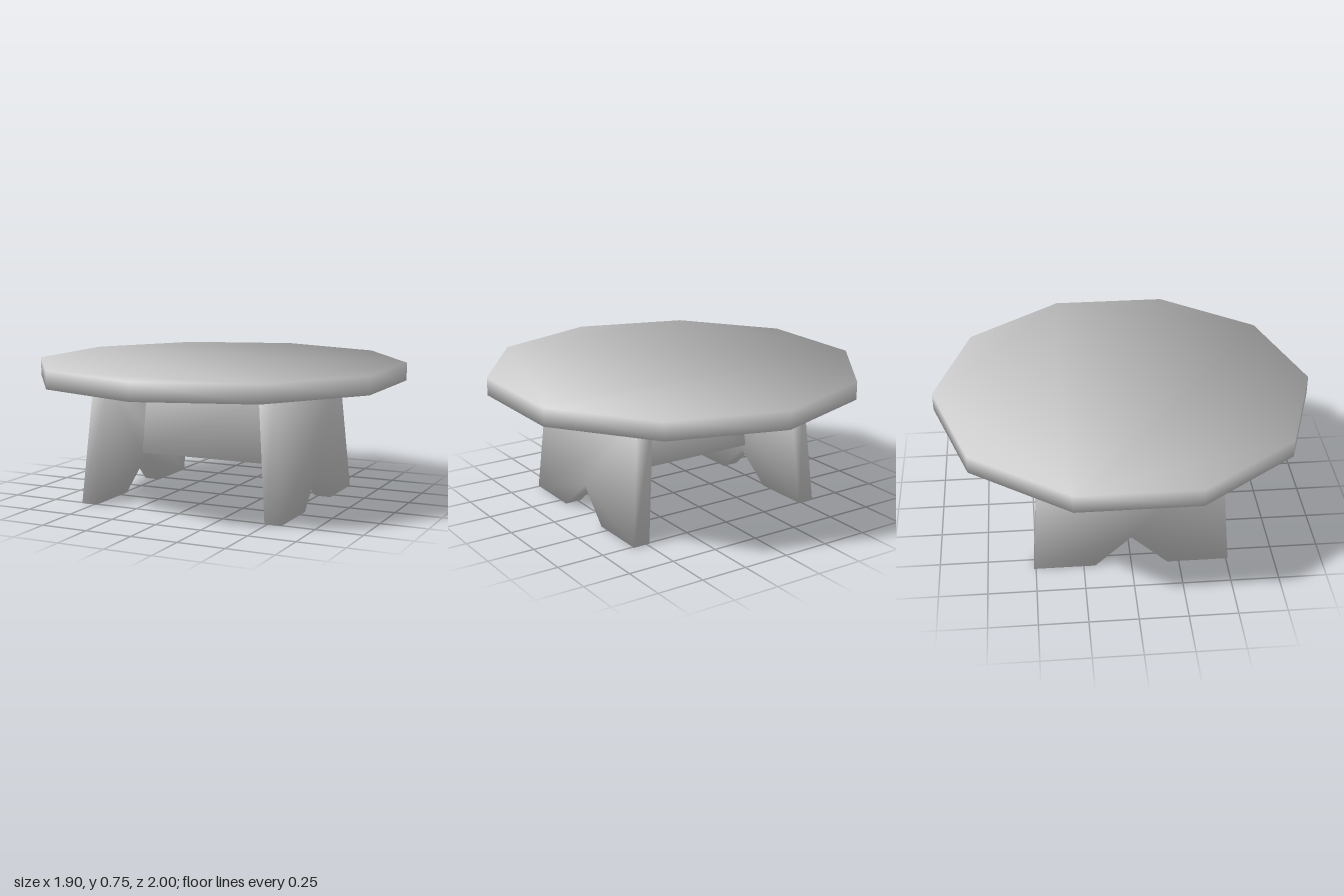
import * as THREE from 'three';
import { mergeVertices } from 'three/addons/utils/BufferGeometryUtils.js';

// Weld shared corners and give each one an angle-weighted smooth normal.
function smooth(source) {
  source.deleteAttribute('normal');
  source.deleteAttribute('uv');
  source.clearGroups();
  const geometry = mergeVertices(source, 1e-4);
  const position = geometry.attributes.position;
  const index = geometry.index;
  const normals = Array.from({ length: position.count }, () => new THREE.Vector3());
  for (let i = 0; i < index.count; i += 3) {
    const ids = [0, 1, 2].map((k) => index.getX(i + k));
    const p = ids.map((id) => new THREE.Vector3().fromBufferAttribute(position, id));
    const face = p[1].clone().sub(p[0]).cross(p[2].clone().sub(p[0])).normalize();
    ids.forEach((id, k) => {
      const a = p[(k + 1) % 3].clone().sub(p[k]);
      const b = p[(k + 2) % 3].clone().sub(p[k]);
      normals[id].addScaledVector(face, a.angleTo(b));
    });
  }
  geometry.setAttribute('normal', new THREE.Float32BufferAttribute(
    normals.flatMap((n) => n.normalize().toArray()), 3));
  return geometry;
}

// Flat slab from an outline, centred on its thickness.
function slab(points, depth) {
  const shape = new THREE.Shape(points.map(([x, y]) => new THREE.Vector2(x, y)));
  return new THREE.ExtrudeGeometry(shape, { depth, bevelEnabled: false }).translate(0, 0, -depth / 2);
}

export function createModel() {
  const group = new THREE.Group();
  const grey = new THREE.MeshStandardMaterial({ color: 0xcccccc });
  grey.name = 'plain grey';

  const add = (name, geometry) => {
    const mesh = new THREE.Mesh(smooth(geometry), grey);
    mesh.name = name;
    group.add(mesh);
    return mesh;
  };

  // Ten-sided top with corners pointing to the front and back
  const corners = Array.from({ length: 10 }, (_, i) => {
    const a = Math.PI / 2 + (i * Math.PI) / 5;
    return [Math.cos(a), Math.sin(a)];
  });
  add('tableTop', slab(corners, 0.095).rotateX(-Math.PI / 2).translate(0, 0.6975, 0));

  // Splayed leg panels with a notch between the feet
  const outline = [
    [-0.51, 0], [-0.19, 0], [0, 0.165], [0.19, 0], [0.51, 0], [0.465, 0.65], [-0.465, 0.65],
  ];
  for (const [name, turn] of [['leftLeg', 0], ['rightLeg', Math.PI]]) {
    const leg = slab(outline, 0.09).rotateY(Math.PI / 2);
    const p = leg.attributes.position;
    for (let i = 0; i < p.count; i++) p.setX(i, p.getX(i) + 0.53 - p.getY(i) * 0.085);
    add(name, leg.rotateY(turn));
  }

  // Board joining the two legs
  add('crossBoard', slab([[-0.49, 0.2], [0.49, 0.2], [0.45, 0.65], [-0.45, 0.65]], 0.07));

  return group;
}
